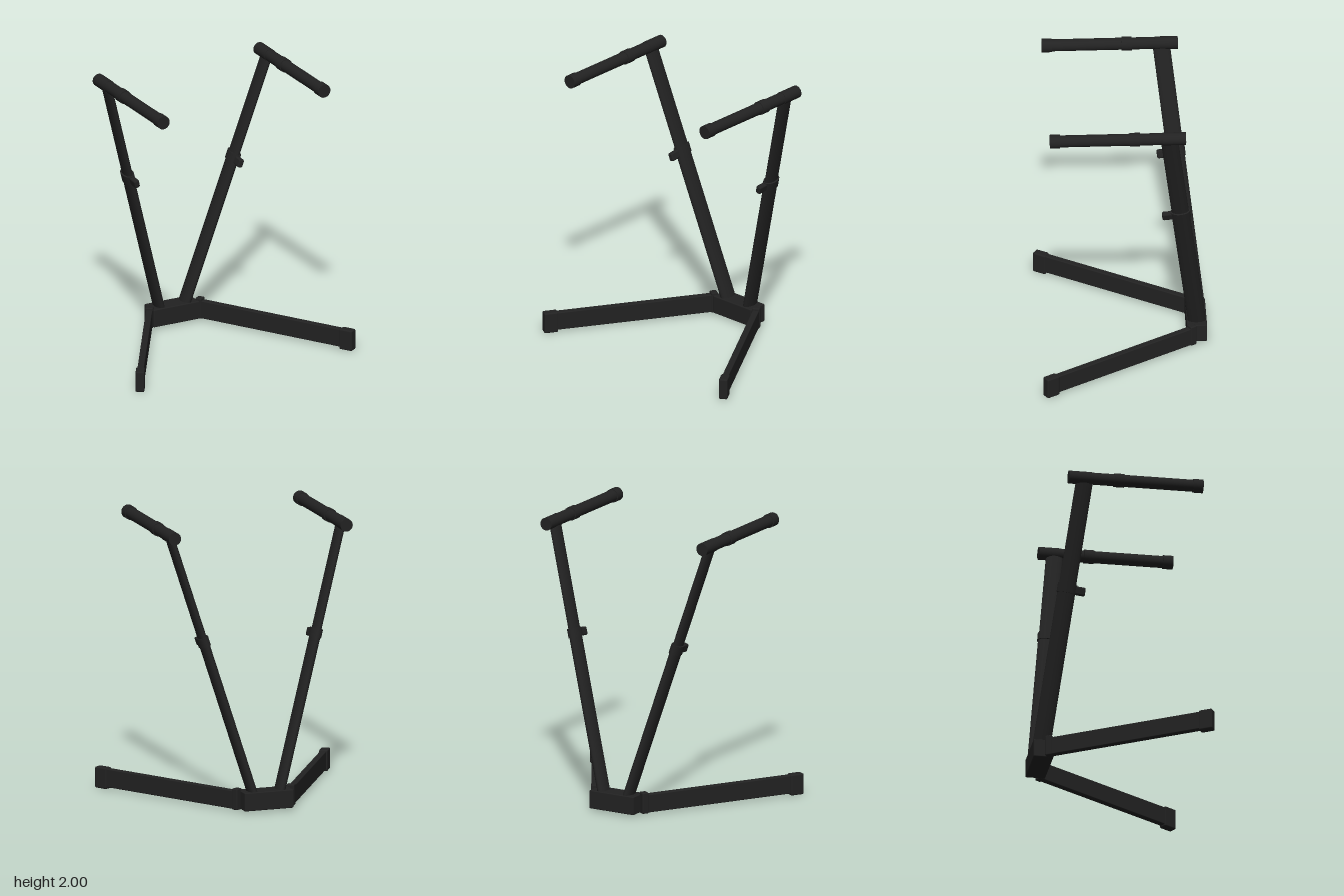
import * as THREE from 'three';
import { RoundedBoxGeometry } from 'three/addons/geometries/RoundedBoxGeometry.js';

const material = new THREE.MeshStandardMaterial({ color: 0x222222 });

function add(parent, name, geometry) {
  const mesh = new THREE.Mesh(geometry, material);
  mesh.name = name;
  parent.add(mesh);
  return mesh;
}

// Oval tube centred on its own y axis
function ovalTube(halfWidth, halfDepth, length) {
  return new THREE.CylinderGeometry(1, 1, length, 40).scale(halfWidth, 1, halfDepth);
}

// Round bar lying along z
function addBar(parent, name, radius, z0, z1) {
  const geometry = new THREE.CylinderGeometry(radius, radius, z1 - z0, 40).rotateX(Math.PI / 2);
  add(parent, name, geometry).position.z = (z0 + z1) / 2;
}

// Folding leg with hinge bracket and rubber foot; side is +1 for left, -1 for right
function makeLeg(side) {
  const leg = new THREE.Group();
  leg.name = side > 0 ? 'leftLeg' : 'rightLeg';
  const hinge = new THREE.Vector3(side * 0.2, 0, -0.48);
  const tip = new THREE.Vector3(side * 0.845, 0, 0.565);
  const length = hinge.distanceTo(tip);
  leg.position.copy(hinge);
  leg.rotation.y = Math.atan2(tip.x - hinge.x, tip.z - hinge.z);

  add(leg, 'legBar', new RoundedBoxGeometry(0.045, 0.13, length - 0.02, 3, 0.006))
    .position.set(0, 0.079, length / 2 - 0.01);
  add(leg, 'hingeBracket', new RoundedBoxGeometry(0.056, 0.15, 0.048, 3, 0.008))
    .position.set(0, 0.085, 0);
  add(leg, 'footCap', new RoundedBoxGeometry(0.062, 0.15, 0.1, 3, 0.01))
    .position.set(0, 0.075, length - 0.05);
  return leg;
}

// Leaning telescopic upright with height clamp
function makeUpright(side) {
  const upright = new THREE.Group();
  upright.name = side > 0 ? 'leftUpright' : 'rightUpright';
  const bottom = new THREE.Vector3(side * 0.092, 0.1, -0.525);
  const top = new THREE.Vector3(side * 0.635, 1.95, -0.304);
  const axis = top.clone().sub(bottom);
  const length = axis.length();
  axis.normalize();

  // Local y follows the tube while the wide side of the oval faces sideways
  const xAxis = new THREE.Vector3().crossVectors(axis, new THREE.Vector3(0, 0, 1)).normalize();
  const zAxis = new THREE.Vector3().crossVectors(xAxis, axis);
  upright.quaternion.setFromRotationMatrix(new THREE.Matrix4().makeBasis(xAxis, axis, zAxis));
  upright.position.copy(bottom);

  const clampAt = length * 0.595;
  add(upright, 'outerTube', ovalTube(0.033, 0.063, clampAt)).position.y = clampAt / 2;
  add(upright, 'innerTube', ovalTube(0.028, 0.06, length - clampAt)).position.y = (length + clampAt) / 2;
  add(upright, 'clampCollar', ovalTube(0.04, 0.069, 0.065)).position.y = clampAt;
  add(upright, 'clampKnob', new RoundedBoxGeometry(0.04, 0.06, 0.08, 3, 0.012))
    .position.set(0, clampAt - 0.003, 0.09);
  return upright;
}

// Horizontal support arm with sleeve, stop ring and end cap
function makeArm(side) {
  const arm = new THREE.Group();
  arm.name = side > 0 ? 'leftArm' : 'rightArm';
  arm.position.set(side * 0.635, 1.952, 0);
  addBar(arm, 'armBar', 0.042, -0.4, 0.5);
  addBar(arm, 'armSleeve', 0.045, -0.42, -0.26);
  addBar(arm, 'stopRing', 0.048, -0.1, -0.03);
  addBar(arm, 'endCap', 0.048, 0.455, 0.525);
  return arm;
}

export function createModel() {
  const model = new THREE.Group();
  model.name = 'foldingStand';
  add(model, 'baseBlock', new RoundedBoxGeometry(0.36, 0.13, 0.14, 3, 0.006)).position.set(0, 0.079, -0.518);
  for (const side of [1, -1]) model.add(makeLeg(side), makeUpright(side), makeArm(side));
  return model;
}
